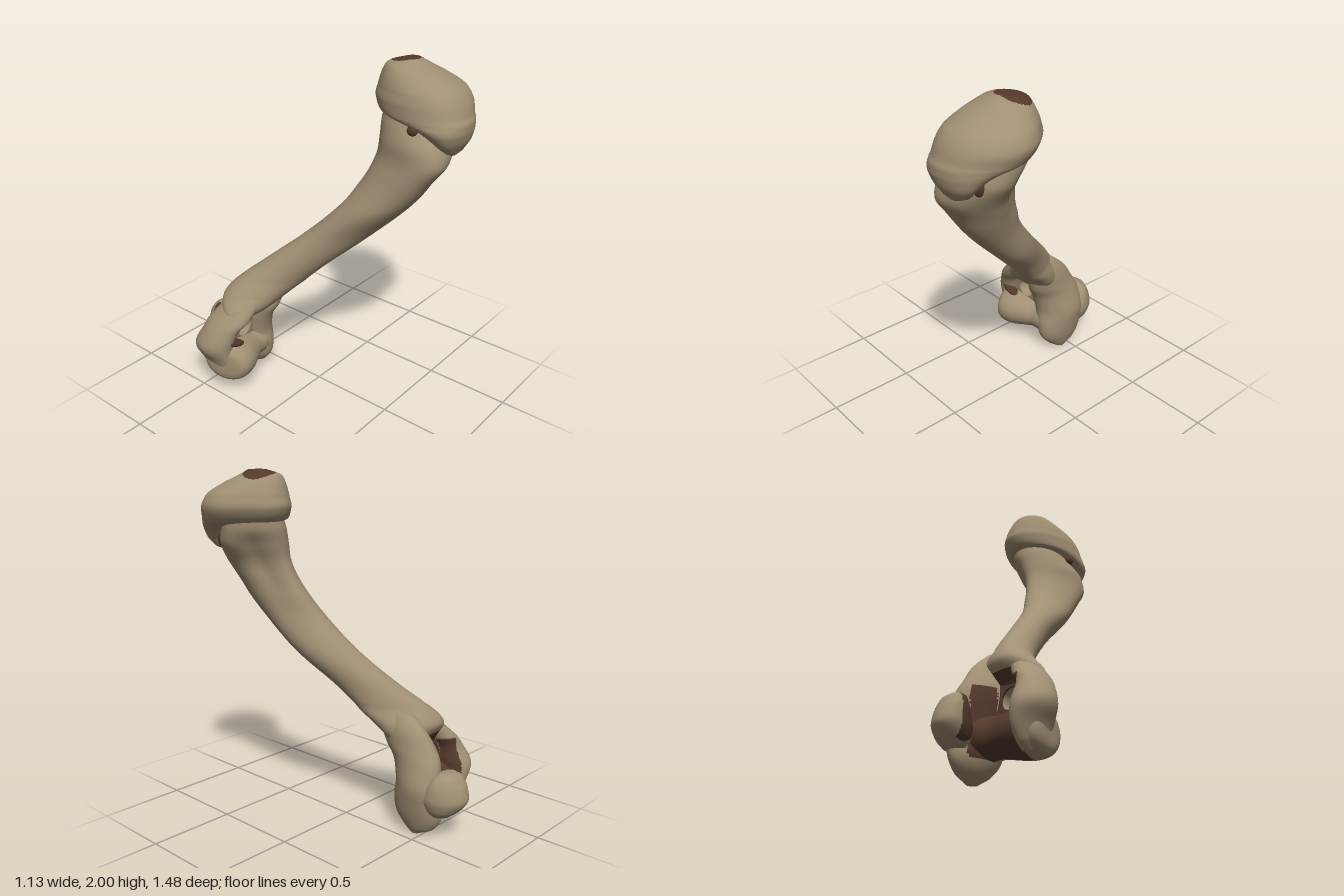
import * as THREE from 'three';

const bone = new THREE.MeshStandardMaterial({ color: 0xa08f73 });
bone.name = 'bone';
const hollow = new THREE.MeshStandardMaterial({ color: 0x54392b });
hollow.name = 'darkHollow';

// Smooth closed loft through level oval sections, listed from the bottom up.
// Row: [y, xMin, xMax, zMin, zMax, skew, corner]; skew leans the oval along the x = z diagonal,
// corner pushes it out toward (-x, +z) and in on the opposite side.
// Faces whose centre passes isDark get the dark material.
function loft(name, rows, isDark = () => false, sides = 64, steps = 6) {
  const curve = (toPoint) => new THREE.CatmullRomCurve3(rows.map((r) => new THREE.Vector3(...toPoint(r))));
  const centres = curve(([y, x0, x1, z0, z1]) => [(x0 + x1) / 2, y, (z0 + z1) / 2]);
  const sizes = curve(([, x0, x1, z0, z1, skew = 0]) => [(x1 - x0) / 2, skew, (z1 - z0) / 2]);
  const corners = curve(([y, , , , , , corner = 0]) => [corner, y, 0]);
  const rings = (rows.length - 1) * steps;
  const pos = [];
  const addRing = (t, scale) => {
    const c = centres.getPoint(t), s = sizes.getPoint(t), corner = corners.getPoint(t).x;
    for (let j = 0; j < sides; j++) {
      const a = (j / sides) * Math.PI * 2;
      const r = scale * (1 + corner * Math.cos(a - Math.PI * 0.75) ** 5);
      pos.push(c.x + r * s.x * Math.cos(a), c.y, c.z + r * s.z * Math.sin(a + s.y));
    }
  };
  addRing(0, 0.001);
  for (let i = 0; i <= rings; i++) addRing(i / rings, 1);
  addRing(1, 0.001);

  const light = [], dark = [];
  const addFace = (...f) => {
    const mid = [0, 1, 2].map((k) => (pos[f[0] * 3 + k] + pos[f[1] * 3 + k] + pos[f[2] * 3 + k]) / 3);
    (isDark(...mid) ? dark : light).push(...f);
  };
  for (let i = 0; i < rings + 2; i++) {
    for (let j = 0; j < sides; j++) {
      const a = i * sides + j, b = i * sides + ((j + 1) % sides);
      addFace(a, a + sides, b);
      addFace(b, a + sides, b + sides);
    }
  }
  const geo = new THREE.BufferGeometry();
  geo.setAttribute('position', new THREE.Float32BufferAttribute(pos, 3));
  geo.setIndex([...light, ...dark]);
  geo.addGroup(0, light.length, 0);
  geo.addGroup(light.length, dark.length, 1);
  geo.computeVertexNormals();
  const mesh = new THREE.Mesh(geo, [bone, hollow]);
  mesh.name = name;
  return mesh;
}

// Small dark ellipsoid sunk into the surface to mark a crevice
function crevice(name, at, size, tilt = 0) {
  const mesh = new THREE.Mesh(new THREE.SphereGeometry(1, 20, 14), hollow);
  mesh.name = name;
  mesh.position.set(...at);
  mesh.scale.set(...size);
  mesh.rotation.z = tilt;
  return mesh;
}

// Spool-shaped lower joint: light in front and at the right end, dark behind
function makeJoint() {
  const joint = new THREE.Group();
  joint.name = 'lowerJoint';
  const profile = new THREE.SplineCurve([
    [0.001, -0.205], [0.08, -0.2], [0.118, -0.165], [0.127, -0.09], [0.112, 0],
    [0.103, 0.06], [0.112, 0.12], [0.11, 0.165], [0.07, 0.195], [0.001, 0.2],
  ].map(([r, x]) => new THREE.Vector2(r, x))).getPoints(45);
  profile.forEach((p) => { p.x = Math.max(p.x, 0.0005); });
  const sector = (name, material, points, start, length) => {
    const geo = new THREE.LatheGeometry(points, 32, start * Math.PI, length * Math.PI);
    geo.rotateZ(-Math.PI / 2);
    const mesh = new THREE.Mesh(geo, material);
    mesh.name = name;
    mesh.scale.z = 1.2;
    joint.add(mesh);
  };
  sector('jointFront', bone, profile, 1.45, 1.03);
  sector('jointBackEnd', bone, profile.slice(0, 15), 0.48, 0.97);
  sector('jointBack', hollow, profile.slice(14), 0.48, 0.97);
  joint.position.set(-0.3, 0.21, -0.38);
  joint.rotation.y = 0.3;
  return joint;
}

// Thin wall between the two columns, pierced by a round hole
function makeWeb() {
  const web = new THREE.Group();
  web.name = 'piercedWall';
  const shape = new THREE.Shape([[-0.15, -0.15], [0.2, -0.15], [0.17, 0.15], [-0.09, 0.15]]
    .map(([x, y]) => new THREE.Vector2(x, y)));
  shape.holes.push(new THREE.Path().absellipse(-0.003, 0, 0.056, 0.062, 0, Math.PI * 2, true));
  const layer = (name, material, z, depth) => {
    const geo = new THREE.ExtrudeGeometry(shape, { depth, bevelEnabled: false, curveSegments: 32 });
    const mesh = new THREE.Mesh(geo, material);
    mesh.name = name;
    mesh.position.z = z;
    web.add(mesh);
  };
  layer('wallFront', bone, -0.02, 0.07);
  layer('wallBack', hollow, -0.03, 0.01);
  web.position.set(-0.3, 0.39, -0.375);
  web.rotation.set(0.15, 0.1, 0);
  return web;
}

export function createModel() {
  const model = new THREE.Group();
  model.name = 'limbBone';

  // Leaning shaft, flaring toward both ends
  model.add(loft('shaft', [
    [0.455, -0.37, -0.16, -0.39, -0.32, 0],
    [0.49, -0.43, -0.09, -0.405, -0.25, 0],
    [0.53, -0.44, -0.05, -0.43, -0.205, 0.1],
    [0.6, -0.39, -0.015, -0.46, -0.145, 0.35],
    [0.7, -0.29, 0.02, -0.39, -0.055, 0.6],
    [0.8, -0.2, 0.07, -0.285, 0.04, 0.57],
    [1.0, -0.07, 0.2, -0.07, 0.25, 0.47],
    [1.2, 0, 0.275, 0.11, 0.45, 0.25, 0.1],
    [1.3, 0.04, 0.315, 0.165, 0.53, 0.15, 0.17],
    [1.4, 0.07, 0.355, 0.21, 0.59, 0.05, 0.25],
    [1.5, 0.09, 0.4, 0.235, 0.65, 0, 0.28],
    [1.6, 0.1, 0.46, 0.235, 0.64, 0, 0.25],
    [1.68, 0.125, 0.47, 0.23, 0.61, 0, 0.1],
    [1.75, 0.15, 0.46, 0.24, 0.6, 0],
  ], (x, y, z) => y < 0.54 && z < -0.36 && x > -0.37 && x < -0.2));

  // Rounded upper head overhanging the front, with a dark spot on top
  model.add(loft('head', [
    [1.545, 0.26, 0.32, 0.63, 0.67],
    [1.57, 0.2, 0.38, 0.59, 0.695],
    [1.62, 0.155, 0.43, 0.565, 0.722, 0, 0.05],
    [1.67, 0.12, 0.47, 0.48, 0.735, 0, 0.1],
    [1.7, 0.105, 0.5, 0.38, 0.735, 0, 0.12],
    [1.735, 0.1, 0.54, 0.21, 0.725, 0, 0.15],
    [1.8, 0.105, 0.565, 0.17, 0.7, 0, 0.15],
    [1.87, 0.12, 0.54, 0.185, 0.66, 0, 0.12],
    [1.93, 0.15, 0.47, 0.21, 0.565, 0, 0.05],
    [1.975, 0.19, 0.41, 0.245, 0.46],
    [2.0, 0.26, 0.36, 0.32, 0.41],
  ], (x, y, z) => y > 1.9 && ((x - 0.33) / 0.095) ** 2 + ((z - 0.325) / 0.08) ** 2 < 1, 96, 10));
  model.add(crevice('leftHeadCrevice', [0.385, 1.62, 0.58], [0.03, 0.055, 0.035]));
  model.add(crevice('rightHeadCrevice', [0.122, 1.685, 0.51], [0.026, 0.028, 0.03]));

  // Two columns forking below the shaft
  model.add(loft('rightColumn', [
    [0.1, -0.465, -0.41, -0.45, -0.32],
    [0.14, -0.49, -0.395, -0.49, -0.29],
    [0.22, -0.52, -0.38, -0.53, -0.28],
    [0.31, -0.565, -0.38, -0.54, -0.285],
    [0.42, -0.53, -0.365, -0.49, -0.26, 0.1],
    [0.5, -0.47, -0.3, -0.46, -0.22, 0.2],
    [0.6, -0.37, -0.22, -0.4, -0.2, 0.2],
    [0.66, -0.28, -0.18, -0.33, -0.2],
  ], (x, y, z) => x > -0.425 && z < -0.4 && y < 0.48));
  model.add(loft('leftColumn', [
    [0, -0.12, -0.07, -0.48, -0.42],
    [0.04, -0.17, -0.05, -0.56, -0.36],
    [0.1, -0.2, -0.03, -0.6, -0.31],
    [0.2, -0.215, -0.01, -0.605, -0.29, -0.1],
    [0.3, -0.23, 0, -0.595, -0.295, -0.2],
    [0.42, -0.235, -0.025, -0.58, -0.26, -0.15],
    [0.5, -0.22, -0.035, -0.54, -0.215, 0],
    [0.6, -0.18, -0.04, -0.47, -0.2, 0.15],
    [0.68, -0.16, -0.06, -0.38, -0.2, 0.2],
  ], (x, y, z) => x < -0.18 && z < -0.42 && y > 0.1 && y < 0.46));

  // Knob behind the left column
  model.add(loft('backKnob', [
    [0.14, -0.18, -0.07, -0.65, -0.53, 0.1],
    [0.18, -0.225, -0.04, -0.7, -0.51, 0.2],
    [0.25, -0.25, -0.02, -0.735, -0.5, 0.3],
    [0.32, -0.25, -0.03, -0.715, -0.53, 0.3],
    [0.37, -0.235, -0.06, -0.685, -0.56, 0.25],
    [0.392, -0.2, -0.11, -0.65, -0.59, 0.2],
  ], (x, y, z) => x < -0.205 && z > -0.65));

  model.add(makeJoint(), makeWeb());
  model.add(crevice('frontCrevice', [-0.415, 0.338, -0.3], [0.078, 0.022, 0.035], -0.42));
  return model;
}
